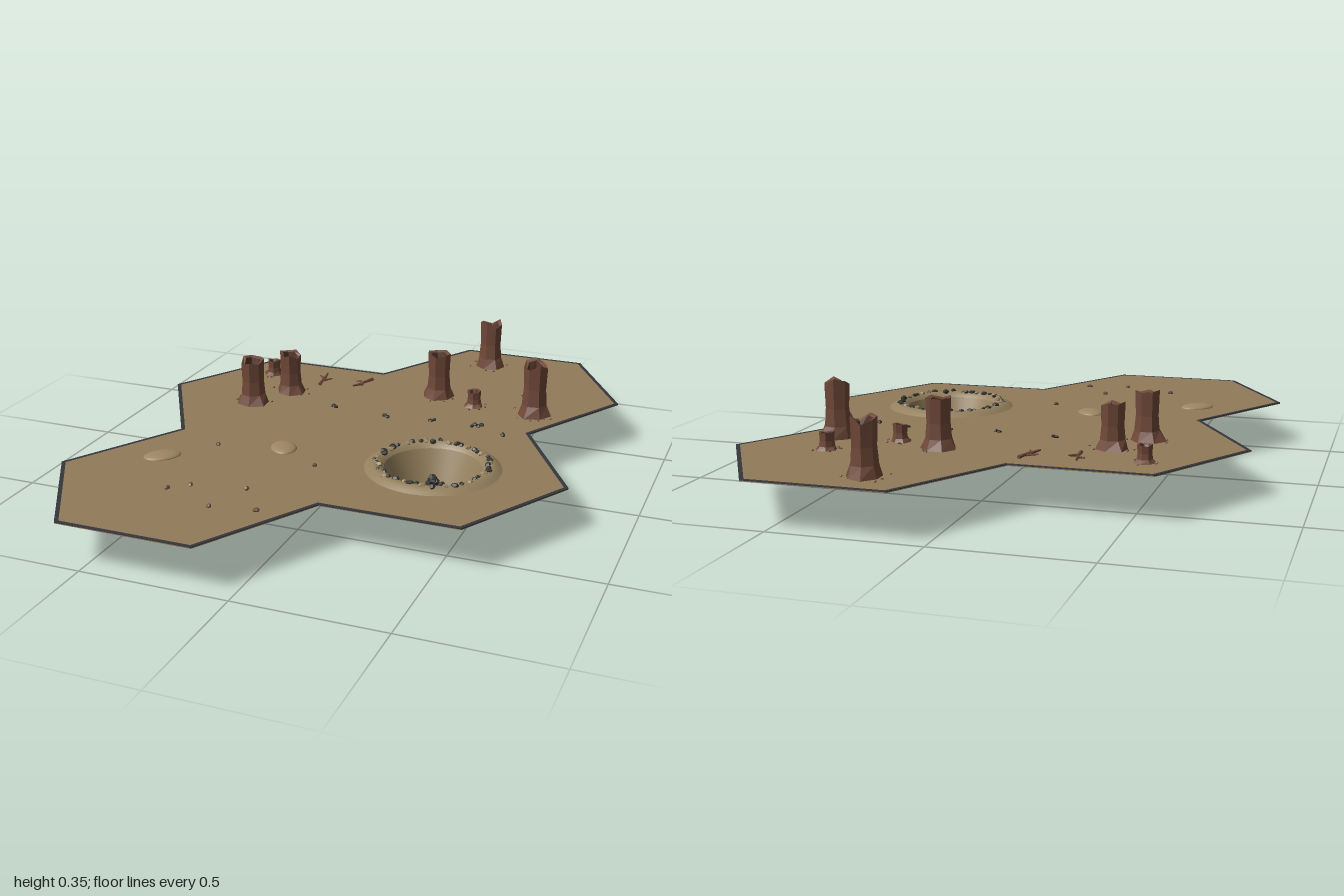
import * as THREE from 'three';
import { mergeGeometries } from 'three/addons/utils/BufferGeometryUtils.js';

const GROUND = 0.145;
const CRATER = [0.352, 0.197];

const mat = (name, color, extra = {}) => {
  const m = new THREE.MeshStandardMaterial({ color, ...extra });
  m.name = name;
  return m;
};

// Small seeded generator
function seeded(seed) {
  return () => (seed = (seed * 16807) % 2147483647) / 2147483647;
}

export function createModel() {
  const rnd = seeded(4711);
  const flat = { flatShading: true };
  const M = {
    earth: mat('earth', 0x917a5a),
    sand: mat('sand', 0x9e8663),
    crater: mat('craterSoil', 0x94805d, { side: THREE.DoubleSide }),
    edge: mat('darkEdge', 0x34363c),
    bark: mat('bark', 0x6f4838, flat),
    wood: mat('innerWood', 0x55352a, flat),
    char: mat('charcoal', 0x333230, flat),
    black: mat('burntFloor', 0x1c1c1c, { side: THREE.DoubleSide }),
  };
  const model = new THREE.Group();
  const add = (name, geo, material, parent = model) => {
    const mesh = new THREE.Mesh(geo, material);
    mesh.name = name;
    parent.add(mesh);
    return mesh;
  };

  // Outline of four joined hexagons, as (x, z)
  const outline = [
    [0.115, -1], [0.573, -1], [0.803, -0.6], [0.573, -0.2], [0.803, 0.2], [0.573, 0.6], [0.115, 0.6],
    [-0.115, 1], [-0.573, 1], [-0.803, 0.6], [-0.573, 0.2], [-0.803, -0.2], [-0.573, -0.6], [-0.115, -0.6],
  ].map(([x, z]) => new THREE.Vector2(x, z));

  // Flat shapes are drawn in (x, -z) and laid down
  const lay = (shape, depth, y) =>
    new THREE.ExtrudeGeometry(shape, { depth, bevelEnabled: false, curveSegments: 40 })
      .rotateX(-Math.PI / 2).translate(0, y, 0);
  const flip = (pts) => pts.map((p) => new THREE.Vector2(p.x, -p.y));

  // Ground plate with a hole for the crater
  const plate = new THREE.Shape(flip(outline));
  plate.holes.push(new THREE.Path().absarc(CRATER[0], -CRATER[1], 0.163, 0, Math.PI * 2, true));
  add('groundPlate', lay(plate, 0.003, GROUND - 0.003), M.earth);

  // Narrow dark border, mitred inward from the outline
  const n = outline.length;
  const inner = outline.map((p, i) => {
    const d0 = p.clone().sub(outline[(i + n - 1) % n]).normalize();
    const d1 = outline[(i + 1) % n].clone().sub(p).normalize();
    const n0 = new THREE.Vector2(-d0.y, d0.x), n1 = new THREE.Vector2(-d1.y, d1.x);
    return n0.clone().add(n1).multiplyScalar(0.013 / (1 + n0.dot(n1))).add(p);
  });
  const border = new THREE.Shape(flip(outline));
  border.holes.push(new THREE.Path(flip(inner)));
  add('borderStrip', lay(border, 0.003, GROUND - 0.001), M.edge);

  // Crater: tapered bowl and raised rim, with a burnt floor
  const crater = new THREE.Group();
  crater.name = 'crater';
  crater.position.set(CRATER[0], 0, CRATER[1]);
  model.add(crater);
  const lathe = (pts) => new THREE.LatheGeometry(pts.map(([x, y]) => new THREE.Vector2(x, y)), 48);
  add('craterBowl', lathe([[0.102, 0], [0.131, 0.0725], [0.161, 0.146]]), M.crater, crater);
  add('craterRim', lathe([[0.161, 0.146], [0.172, 0.158], [0.185, 0.164], [0.2, 0.162],
    [0.214, 0.154], [0.226, 0.146]].reverse()), M.crater, crater);
  add('craterFloor', new THREE.CircleGeometry(0.102, 40).rotateX(-Math.PI / 2).translate(0, 0.001, 0),
    M.black, crater);

  // One small angular stone
  const stone = (x, y, z, r) => new THREE.DodecahedronGeometry(r, 0)
    .scale(0.8 + rnd() * 0.5, 0.6 + rnd() * 0.3, 0.8 + rnd() * 0.5)
    .rotateY(rnd() * 6.3).rotateX(rnd() * 0.6).translate(x, y, z);

  // Ring of rocks on the rim
  const rimDark = [], rimPale = [];
  for (let i = 0; i < 46; i++) {
    const a = (i + rnd() * 0.7) / 46 * Math.PI * 2, r = 0.176 + rnd() * 0.018;
    (i % 3 === 1 ? rimPale : rimDark).push(
      stone(Math.cos(a) * r, 0.163, Math.sin(a) * r, 0.007 + rnd() * 0.006));
  }
  add('rimRocks', mergeGeometries(rimDark), M.char, crater);
  add('rimClods', mergeGeometries(rimPale), M.crater, crater);

  // Rubble on the crater floor around a charred heap
  const rubble = [];
  for (let i = 0; i < 60; i++) {
    const a = i * 2.4, r = 0.05 + 0.046 * Math.sqrt(rnd());
    rubble.push(stone(Math.cos(a) * r, 0.008, Math.sin(a) * r, 0.009 + rnd() * 0.006));
  }
  for (let i = 0; i < 16; i++) {
    const t = i / 15, a = i * 2.4, r = 0.036 * (1 - t);
    rubble.push(stone(Math.cos(a) * r, 0.012 + t * 0.095, Math.sin(a) * r, 0.024 - t * 0.009));
  }
  add('floorRubble', mergeGeometries(rubble), M.char, crater);

  // Skin a list of closed rings of points
  function skin(rings) {
    const k = rings[0].length, idx = [];
    for (let i = 0; i < rings.length - 1; i++) {
      for (let j = 0; j < k; j++) {
        const a = i * k + j, b = i * k + (j + 1) % k, c = a + k, d = b + k;
        idx.push(a, c, b, b, c, d);
      }
    }
    const g = new THREE.BufferGeometry();
    g.setAttribute('position', new THREE.Float32BufferAttribute(rings.flat(2), 3));
    g.setIndex(idx);
    g.computeVertexNormals();
    return g;
  }

  // Hollow broken tree stumps: flared roots, jagged top, sunken heart
  function stump(x, z, r, h) {
    const g = new THREE.Group();
    g.name = 'treeStump';
    g.position.set(x, GROUND, z);
    g.rotation.y = rnd() * 6;
    const sides = 7;
    const jag = Array.from({ length: sides }, () => 0.87 + rnd() * 0.13);
    jag[Math.floor(rnd() * sides)] = 1;
    const root = jag.map(() => 1.3 + rnd() * 0.35);
    const wob = jag.map(() => 0.94 + rnd() * 0.12);
    const ring = (rad, y) => jag.map((_, j) => {
      const a = j / sides * Math.PI * 2;
      return [Math.cos(a) * rad(j) * r, y(j) * h, Math.sin(a) * rad(j) * r];
    });
    const lip = ring((j) => 0.72 * wob[j], (j) => jag[j] - 0.03);
    add('bark', skin([
      ring((j) => root[j], () => 0),
      ring((j) => 1.06 * wob[j], () => 0.2),
      ring((j) => 0.95 * wob[j], () => 0.5),
      ring((j) => 1.02 * wob[j], (j) => jag[j]),
      lip,
    ]), M.bark, g);
    add('hollow', skin([
      lip, ring(() => 0.55, () => 0.76), ring(() => 0, () => 0.78),
    ]), M.wood, g);
    // Splinters lying around the foot
    const chips = [];
    for (let i = 0; i < 6; i++) {
      const a = rnd() * 6.3, d = r * (1.5 + rnd() * 0.5);
      chips.push(stone(Math.cos(a) * d, 0.002, Math.sin(a) * d, 0.004));
    }
    add('chips', mergeGeometries(chips), M.bark, g);
    model.add(g);
  }
  [
    [0.245, -0.85, 0.041, 0.185], [0.158, -0.45, 0.041, 0.17], [0.537, -0.395, 0.043, 0.2],
    [-0.372, -0.295, 0.039, 0.155], [-0.455, -0.142, 0.041, 0.17],
    [0.495, -0.57, 0.024, 0.06], [0.313, -0.395, 0.024, 0.06], [-0.51, -0.447, 0.024, 0.06],
  ].forEach((s) => stump(...s));

  // Fallen branches made of tapered twigs between (x, z) points
  const up = new THREE.Vector3(0, 1, 0);
  const twig = ([x0, z0, x1, z1, r]) => {
    const a = new THREE.Vector3(x0, GROUND + 0.005, z0), b = new THREE.Vector3(x1, GROUND + 0.008, z1);
    const d = b.clone().sub(a), len = d.length();
    return new THREE.CylinderGeometry(r * 0.55, r, len, 5)
      .applyQuaternion(new THREE.Quaternion().setFromUnitVectors(up, d.normalize()))
      .translate((a.x + b.x) / 2, (a.y + b.y) / 2, (a.z + b.z) / 2);
  };
  [
    [[-0.295, -0.39, -0.302, -0.45, 0.007], [-0.302, -0.45, -0.31, -0.508, 0.006],
      [-0.299, -0.43, -0.272, -0.458, 0.005], [-0.303, -0.455, -0.328, -0.475, 0.005]],
    [[-0.128, -0.515, -0.145, -0.46, 0.007], [-0.145, -0.46, -0.168, -0.412, 0.006],
      [-0.14, -0.478, -0.178, -0.47, 0.005], [-0.148, -0.456, -0.138, -0.425, 0.005]],
  ].forEach((b) => add('fallenBranch', mergeGeometries(b.map(twig)), M.bark));

  // Low sand mounds
  [[-0.17, 0.223, 0.057, 0.044, -1.05], [-0.52, 0.432, 0.064, 0.043, 0.75]].forEach(([x, z, a, b, turn]) => {
    const mound = add('sandMound',
      new THREE.SphereGeometry(1, 28, 8, 0, Math.PI * 2, 0, Math.PI / 2).scale(a, 0.014, b), M.sand);
    mound.position.set(x, GROUND, z);
    mound.rotation.y = turn;
  });

  // Loose dark stones and brown pebbles, as (x, z)
  const scatter = (name, pts, r, material) =>
    add(name, mergeGeometries(pts.map(([x, z]) => stone(x, GROUND + 0.003, z, r))), material);
  scatter('darkStones', [[-0.15, -0.195], [-0.16, -0.2], [0.045, -0.18], [0.06, -0.168], [0.215, -0.19],
    [0.224, -0.2], [0.372, -0.21], [0.388, -0.2], [0.367, -0.195], [0.396, -0.215], [0.493, -0.148],
    [0.487, -0.158]], 0.008, M.char);
  scatter('brownPebbles', [[-0.388, 0.28], [-0.013, 0.327], [-0.14, 0.575], [-0.319, 0.612], [-0.377, 0.66],
    [-0.193, 0.733], [-0.045, 0.707]], 0.009, M.bark);

  return model;
}
